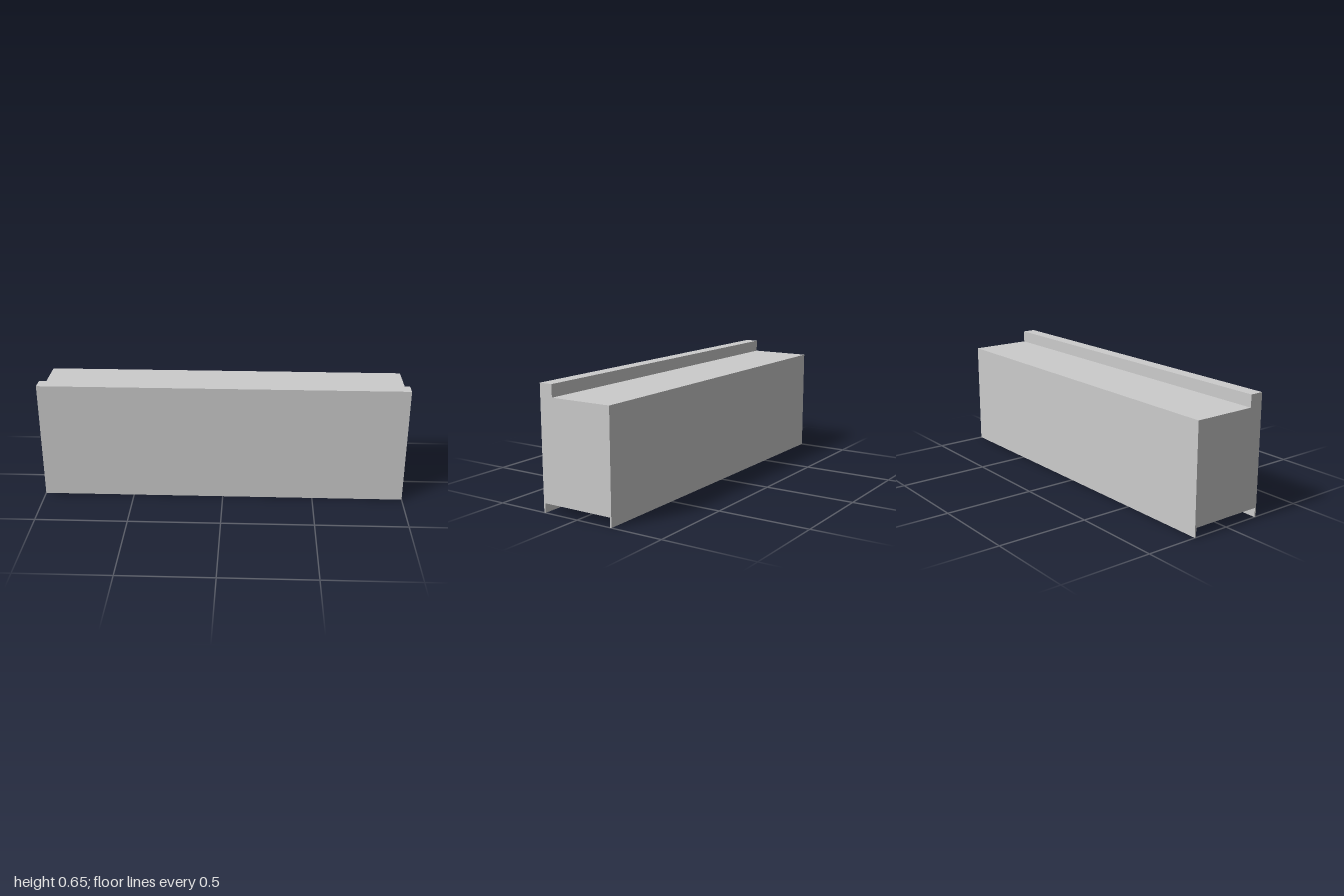
import * as THREE from 'three';

const LENGTH = 2;
const HALF_DEPTH = 0.212;
const LIP_INNER = 0.204; // inner face of the thin bottom lips
const LIP_HEIGHT = 0.05;
const LEDGE_Z = 0.137; // back face of the raised front ridge
const LEDGE_Y = 0.589;
const TOP_Y = 0.655;

export function createModel() {
  const group = new THREE.Group();
  const material = new THREE.MeshStandardMaterial({ color: 0xcccccc, flatShading: true });

  // End profile as [z, y]: front lip, body, back lip and raised front ridge
  const profile = [
    [HALF_DEPTH, 0], [LIP_INNER, 0], [LIP_INNER, LIP_HEIGHT],
    [-LIP_INNER, LIP_HEIGHT], [-LIP_INNER, 0], [-HALF_DEPTH, 0],
    [-HALF_DEPTH, LEDGE_Y], [LEDGE_Z, LEDGE_Y],
    [LEDGE_Z, TOP_Y], [HALF_DEPTH, TOP_Y],
  ];
  const shape = new THREE.Shape(profile.map(([z, y]) => new THREE.Vector2(-z, y)));

  // Run the profile along x
  const geometry = new THREE.ExtrudeGeometry(shape, { depth: LENGTH, bevelEnabled: false });
  geometry.translate(0, 0, -LENGTH / 2);
  geometry.rotateY(Math.PI / 2);

  const block = new THREE.Mesh(geometry, material);
  block.name = 'ledgedBlock';
  group.add(block);
  return group;
}
